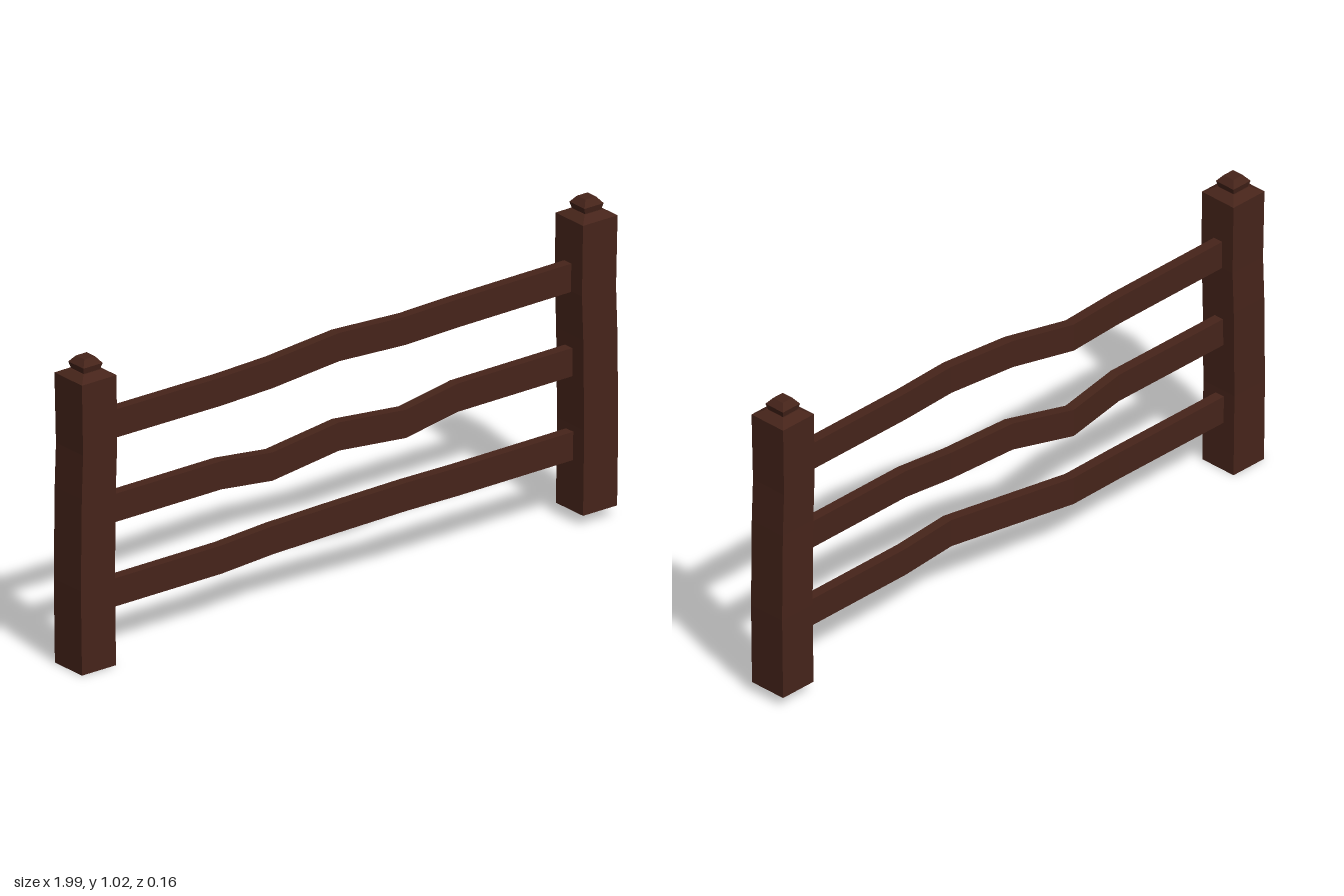
import * as THREE from 'three';

const wood = new THREE.MeshStandardMaterial({ color: 0x46241a, flatShading: true });

// Skin a row of four-cornered rings and close both ends
function loft(rings) {
  const pos = [], index = [];
  rings.forEach(r => r.forEach(p => pos.push(...p)));
  for (let i = 0; i < rings.length - 1; i++) {
    for (let j = 0; j < 4; j++) {
      const a = i * 4 + j, b = i * 4 + (j + 1) % 4;
      index.push(a, b, b + 4, a, b + 4, a + 4);
    }
  }
  const e = (rings.length - 1) * 4;
  index.push(0, 2, 1, 0, 3, 2, e, e + 1, e + 2, e, e + 2, e + 3);
  const g = new THREE.BufferGeometry();
  g.setAttribute('position', new THREE.Float32BufferAttribute(pos, 3));
  g.setIndex(index);
  const flat = g.toNonIndexed();
  flat.computeVertexNormals();
  return flat;
}

// Square ring in the ground plane, and rectangular ring across a rail
const postRing = (y, h, dx = 0, dz = 0) =>
  [[dx - h, y, dz + h], [dx + h, y, dz + h], [dx + h, y, dz - h], [dx - h, y, dz - h]];
const railRing = (x, y, z, hy, hz) =>
  [[x, y - hy, z + hz], [x, y - hy, z - hz], [x, y + hy, z - hz], [x, y + hy, z + hz]];

function mesh(name, geometry) {
  const m = new THREE.Mesh(geometry, wood);
  m.name = name;
  return m;
}

// Slightly warped post with a sloped shoulder and a small chamfered cap
function makePost(name) {
  const post = new THREE.Group();
  post.name = name;
  post.add(mesh('postShaft', loft([
    postRing(0, 0.064), postRing(0.27, 0.064, 0.005, -0.001), postRing(0.56, 0.064, 0, 0.001),
    postRing(0.7, 0.064, -0.004), postRing(0.925, 0.065), postRing(0.942, 0.034)
  ])));
  post.add(mesh('postCap', loft([
    postRing(0.94, 0.03), postRing(0.962, 0.036), postRing(0.982, 0.02)
  ])));
  return post;
}

export function createModel() {
  const fence = new THREE.Group();
  fence.name = 'fence';

  const right = makePost('leftPost');
  right.position.set(0.926, 0.035, 0.017);
  const left = makePost('rightPost');
  left.rotation.y = Math.PI;
  left.position.set(-0.93, 0, -0.017);
  fence.add(right, left);

  // Rails share a sideways sway and differ in their rise
  const xs = [-0.9, -0.43, -0.23, 0, 0.23, 0.43, 0.9];
  const sway = [-0.02, -0.02, -0.03, -0.005, 0.022, 0.014, 0.012];
  const rises = {
    topRail: [0.744, 0.742, 0.742, 0.776, 0.777, 0.777, 0.778],
    middleRail: [0.475, 0.475, 0.447, 0.491, 0.48, 0.508, 0.508],
    bottomRail: [0.206, 0.206, 0.212, 0.23, 0.247, 0.24, 0.24]
  };
  for (const [name, ys] of Object.entries(rises)) {
    fence.add(mesh(name, loft(xs.map((x, i) => railRing(x, ys[i], sway[i], 0.045, 0.017)))));
  }
  return fence;
}
